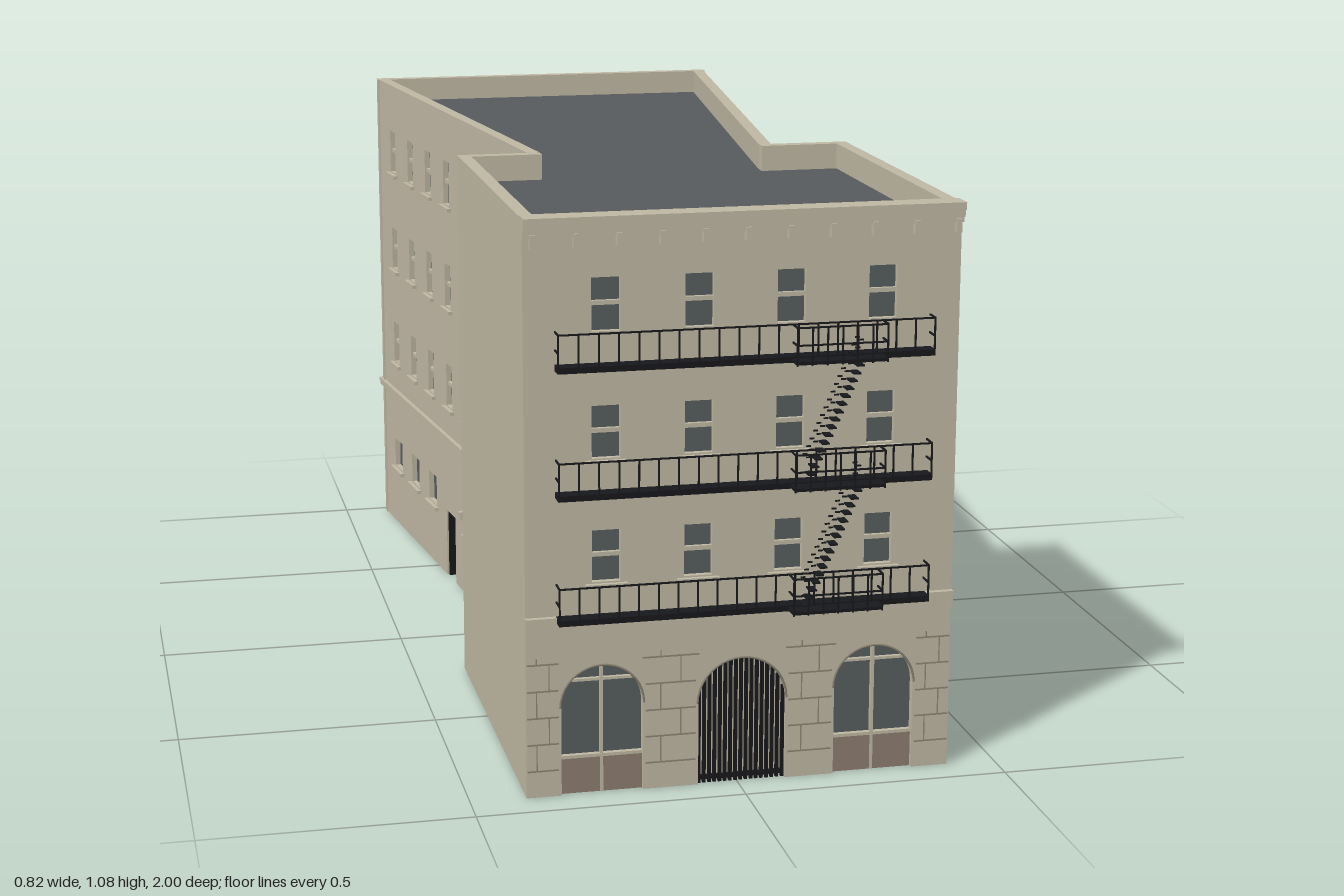
import * as THREE from 'three';

const mat = (name, color) => Object.assign(new THREE.MeshStandardMaterial({ color }), { name });

export function createModel() {
  const stone = mat('limestone', 0xbfb7a3);
  const joint = mat('mortarJoint', 0x8d8676);
  const glass = mat('darkGlass', 0x565c5e);
  const roofing = mat('roofing', 0x565b5d);
  const iron = mat('blackIron', 0x17181c);
  const brown = mat('brownPanel', 0x8c7b70);

  const model = new THREE.Group();
  model.name = 'building';
  const H = 1.073, T = 0.025;
  const floors = [0.405, 0.635, 0.867];

  // box given by its minimum and maximum corners
  function box(parent, name, m, x0, x1, y0, y1, z0, z1) {
    const mesh = new THREE.Mesh(new THREE.BoxGeometry(x1 - x0, y1 - y0, z1 - z0), m);
    mesh.position.set((x0 + x1) / 2, (y0 + y1) / 2, (z0 + z1) / 2);
    mesh.name = name;
    parent.add(mesh);
    return mesh;
  }

  // outline of an opening standing on the ground, drawn left to right
  function tracePath(path, o) {
    const r = o.w / 2;
    if (o.arch) {
      path.lineTo(o.x - r, o.h - r);
      path.absarc(o.x, o.h - r, r, Math.PI, 0, true);
    } else {
      path.lineTo(o.x - r, o.h);
      path.lineTo(o.x + r, o.h);
    }
    path.lineTo(o.x + r, 0);
  }

  function plate(parent, name, m, o, depth, z) {
    const s = new THREE.Shape();
    s.moveTo(o.x - o.w / 2, 0);
    tracePath(s, o);
    const mesh = new THREE.Mesh(
      new THREE.ExtrudeGeometry(s, { depth, bevelEnabled: false, curveSegments: 16 }), m);
    mesh.position.z = z;
    mesh.name = name;
    parent.add(mesh);
  }

  // sash window: glass, meeting rail, frame and sill
  function sash(parent, w) {
    const g = new THREE.Group();
    g.name = 'window';
    parent.add(g);
    const a = w.x - w.w / 2, b = w.x + w.w / 2, top = w.y + w.h, mid = w.y + w.h * 0.52;
    box(g, 'glass', glass, a, b, w.y, top, -0.02, -0.012);
    if (w.h > 0.08) box(g, 'meetingRail', stone, a, b, mid - 0.004, mid + 0.004, -0.012, -0.004);
    box(g, 'sill', stone, a - 0.013, b + 0.013, w.y - 0.011, w.y - 0.003, -0.005, 0.009);
  }

  // wall from p0 to p1 (x, z); local +z points out of the building
  function wall(name, p0, p1, { windows = [], openings = [], padStart = 0, padEnd = 0, course = true } = {}) {
    const dx = p1[0] - p0[0], dz = p1[1] - p0[1], L = Math.hypot(dx, dz);
    const g = new THREE.Group();
    g.name = name;
    g.position.set(p0[0], 0, p0[1]);
    g.rotation.y = Math.atan2(-dz, dx);
    const s = new THREE.Shape();
    s.moveTo(-padStart, 0);
    for (const o of openings) {
      s.lineTo(o.x - o.w / 2, 0);
      tracePath(s, o);
    }
    s.lineTo(L + padEnd, 0);
    s.lineTo(L + padEnd, H);
    s.lineTo(-padStart, H);
    s.closePath();
    for (const w of windows) {
      const a = w.x - w.w / 2, b = w.x + w.w / 2;
      s.holes.push(new THREE.Path([[a, w.y], [a, w.y + w.h], [b, w.y + w.h], [b, w.y]]
        .map(p => new THREE.Vector2(...p))));
      sash(g, w);
    }
    const geo = new THREE.ExtrudeGeometry(s, { depth: T, bevelEnabled: false, curveSegments: 16 });
    geo.translate(0, 0, -T);
    const mesh = new THREE.Mesh(geo, stone);
    mesh.name = name + 'Masonry';
    g.add(mesh);
    // recessed plain doors, dark on the inside
    for (const o of openings.filter(o => !o.arch)) {
      plate(g, 'door', stone, o, 0.006, -0.034);
      plate(g, 'doorInside', glass, o, 0.004, -0.038);
      box(g, 'doorEdge', iron, o.x - o.w / 2, o.x - o.w / 2 + 0.009, 0, o.h, -0.03, -0.004);
    }
    if (course) {
      box(g, 'stringCourse', stone, 0, L + 0.006, 0.32, 0.331, -0.005, 0.006);
      box(g, 'stringCourseCap', stone, 0, L + 0.008, 0.331, 0.337, -0.005, 0.009);
    }
    model.add(g);
    return g;
  }

  // footprint corners
  const FL = [-0.396, 0.935], FR = [0.407, 0.935], NR = [0.407, 0.203], IR = [0.25, 0.203];
  const BR = [0.4, -0.99], BL = [-0.403, -0.99], IL = [-0.255, 0.213], NL = [-0.396, 0.213];

  const cols = [-0.247, -0.077, 0.092, 0.262];
  const grid = (xs, w) => floors.flatMap(y => xs.map(x => ({ x, y, w, h: 0.097 })));

  // front wall with arched ground floor
  const arches = [-0.255, 0.008, 0.26].map((x, i) => (
    { x: x + 0.396, w: i === 1 ? 0.165 : 0.152, h: i === 1 ? 0.24 : 0.245, arch: true }));
  const front = wall('frontWall', FL, FR,
    { windows: grid(cols.map(x => x + 0.396), 0.052), openings: arches, course: false });
  arches.forEach((o, i) => {
    const a = o.x - o.w / 2, b = o.x + o.w / 2;
    if (i === 1) {
      plate(front, 'gateBacking', stone, o, 0.006, -0.022);
      box(front, 'gateInside', glass, a, b, 0, o.h, -0.032, -0.026);
      for (let k = 0; k < 17; k++) {
        const x = a + 0.003 + k * (o.w - 0.006) / 16, r = o.w / 2;
        const top = o.h - r + Math.sqrt(Math.max(0, r * r - (x - o.x) ** 2));
        box(front, 'gateBar', iron, x - 0.003, x + 0.003, 0, top, -0.013, -0.006);
      }
      box(front, 'gateRail', iron, a, b, 0.006, 0.014, -0.014, -0.007);
    } else {
      plate(front, 'archGlass', glass, o, 0.006, -0.022);
      box(front, 'archPanel', brown, a, b, 0, 0.068, -0.016, -0.008);
      box(front, 'archSill', stone, a, b, 0.068, 0.074, -0.016, -0.006);
      box(front, 'archMullion', stone, o.x - 0.003, o.x + 0.003, 0, o.h - 0.002, -0.016, -0.007);
      box(front, 'archTransom', stone, a + 0.014, b - 0.014, 0.215, 0.22, -0.016, -0.008);
    }
    // thin raised ring around the arch
    const r = o.w / 2;
    const ring = new THREE.Mesh(new THREE.TorusGeometry(r + 0.002, 0.002, 4, 20, Math.PI), joint);
    ring.position.set(o.x, o.h - r, 0);
    ring.name = 'archRing';
    front.add(ring);
  });

  // stone joints on the piers
  const piers = [[-0.394, -0.336], [-0.174, -0.08], [0.096, 0.179], [0.341, 0.405]];
  for (const [p0, p1] of piers) {
    for (let r = 1; r <= 5; r++) {
      const y = r * 0.051, grow = r === 5 && p0 > -0.3 && p1 < 0.3 ? 0.006 : 0;
      box(model, 'bedJoint', joint, p0 - grow, p1 + grow, y - 0.0015, y + 0.0015, 0.933, 0.937);
      const x = p0 + (p1 - p0) * (r % 2 ? 0.3 : 0.7);
      const end = r === 5 ? y + 0.012 : y + 0.051;
      box(model, 'headJoint', joint, x - 0.001, x + 0.001, y, end, 0.933, 0.937);
    }
  }

  // front string course, cornice and brackets
  box(model, 'frontCourse', stone, -0.397, 0.408, 0.318, 0.335, 0.93, 0.942);
  box(model, 'frontCourseCap', stone, -0.397, 0.408, 0.335, 0.345, 0.93, 0.946);
  box(model, 'corniceBase', stone, -0.397, 0.408, 1.038, 1.048, 0.92, 0.945);
  box(model, 'corniceBody', stone, -0.397, 0.408, 1.048, 1.062, 0.92, 0.951);
  box(model, 'corniceTop', stone, -0.397, 0.408, 1.062, 1.076, 0.91, 0.957);
  for (let i = 0; i < 11; i++) {
    const x = -0.38 + i * 0.0778;
    box(model, 'corniceBracket', stone, x - 0.005, x + 0.005, 1.02, 1.045, 0.93, 0.95);
  }

  // side, notch and rear walls
  wall('rightBlockWall', FR, NR, { course: false });
  wall('leftBlockWall', NL, FL, { course: false });
  wall('rightNotchWall', NR, IR, { openings: [{ x: 0.08, w: 0.07, h: 0.155 }], padEnd: T });
  wall('leftNotchWall', IL, NL, { openings: [{ x: 0.065, w: 0.07, h: 0.155 }], padStart: T });
  const zs = [0.07, -0.085, -0.237, -0.39, -0.543, -0.695, -0.85];
  function wing(name, p0, p1) {
    const L = Math.hypot(p1[0] - p0[0], p1[1] - p0[1]);
    const at = z => (z - p0[1]) / (p1[1] - p0[1]) * L;
    const small = zs.filter((z, i) => i !== 3).map(z => ({ x: at(z), y: 0.142, w: 0.066, h: 0.068 }));
    wall(name, p0, p1, {
      windows: [...grid(zs.map(at), 0.046), ...small],
      openings: [{ x: at(-0.392), w: 0.072, h: 0.155 }],
    });
  }
  wing('rightWingWall', IR, BR);
  wing('leftWingWall', BL, IL);
  const backX = cols.map(x => 0.4 - x).reverse();
  wall('backWall', BR, BL, {
    windows: [...grid(backX, 0.05),
      ...[backX[0], backX[3]].map(x => ({ x, y: 0.142, w: 0.07, h: 0.068 }))],
    openings: [{ x: 0.4, w: 0.075, h: 0.155 }],
  });

  // sunken roof inside the parapet
  const inner = [[-0.385, 0.925], [0.396, 0.925], [0.396, 0.214], [0.238, 0.214],
    [0.388, -0.98], [-0.391, -0.98], [-0.243, 0.224], [-0.385, 0.224]];
  const roofGeo = new THREE.ExtrudeGeometry(
    new THREE.Shape(inner.map(([x, z]) => new THREE.Vector2(x, -z))), { depth: 0.012, bevelEnabled: false });
  roofGeo.rotateX(-Math.PI / 2);
  const roof = new THREE.Mesh(roofGeo, roofing);
  roof.position.y = 1.01;
  roof.name = 'roof';
  model.add(roof);

  // fire escape: balconies, stair landings and stairs
  const X0 = -0.34, X1 = 0.353, Z = 0.967, b = 0.0015;
  [0.335, 0.567, 0.8].forEach((y, level) => {
    const g = new THREE.Group();
    g.name = 'fireEscapeBalcony';
    model.add(g);
    const top = y + 0.071;
    box(g, 'balconyFloor', iron, X0, X1, y, y + 0.011, 0.937, Z);
    box(g, 'topRail', iron, X0, X1, top - 0.003, top, Z - 0.003, Z);
    for (let i = 0; i <= 19; i++) {
      const x = X0 + b + i * (X1 - X0 - 2 * b) / 19;
      box(g, 'baluster', iron, x - b, x + b, y, top, Z - 0.003, Z);
    }
    for (const x of [X0, X1 - 0.003]) {
      box(g, 'endRail', iron, x, x + 0.003, top - 0.003, top, 0.935, Z);
      box(g, 'endMidRail', iron, x, x + 0.003, y + 0.035, y + 0.038, 0.935, Z);
    }
    // landing
    box(g, 'landingFloor', iron, 0.085, 0.255, y + 0.002, y + 0.008, Z, 0.999);
    for (const h of [0.036, 0.068])
      box(g, 'landingRail', iron, 0.085, 0.255, y + h, y + h + 0.003, 0.996, 0.999);
    for (let i = 0; i <= 6; i++) {
      const x = 0.0865 + i * 0.167 / 6;
      box(g, 'landingPost', iron, x - b, x + b, y, top, 0.996, 0.999);
    }
    for (const x of [0.085, 0.252]) for (const h of [0.036, 0.068])
      box(g, 'landingEndRail', iron, x, x + 0.003, y + h, y + h + 0.003, Z, 0.999);
    // stair up to the next landing
    if (level < 2) for (let i = 0; i < 16; i++) {
      const t = (i + 0.5) / 16, x = 0.108 + t * 0.1, sy = y + 0.01 + t * 0.225;
      box(g, 'stairTread', iron, x - 0.007, x + 0.007, sy - b, sy + b, 0.97, 0.995);
      for (const z of [0.97, 0.993])
        box(g, 'stairRailPiece', iron, x - 0.005, x + 0.004, sy + 0.046, sy + 0.049, z, z + 0.002);
    }
  });

  return model;
}
